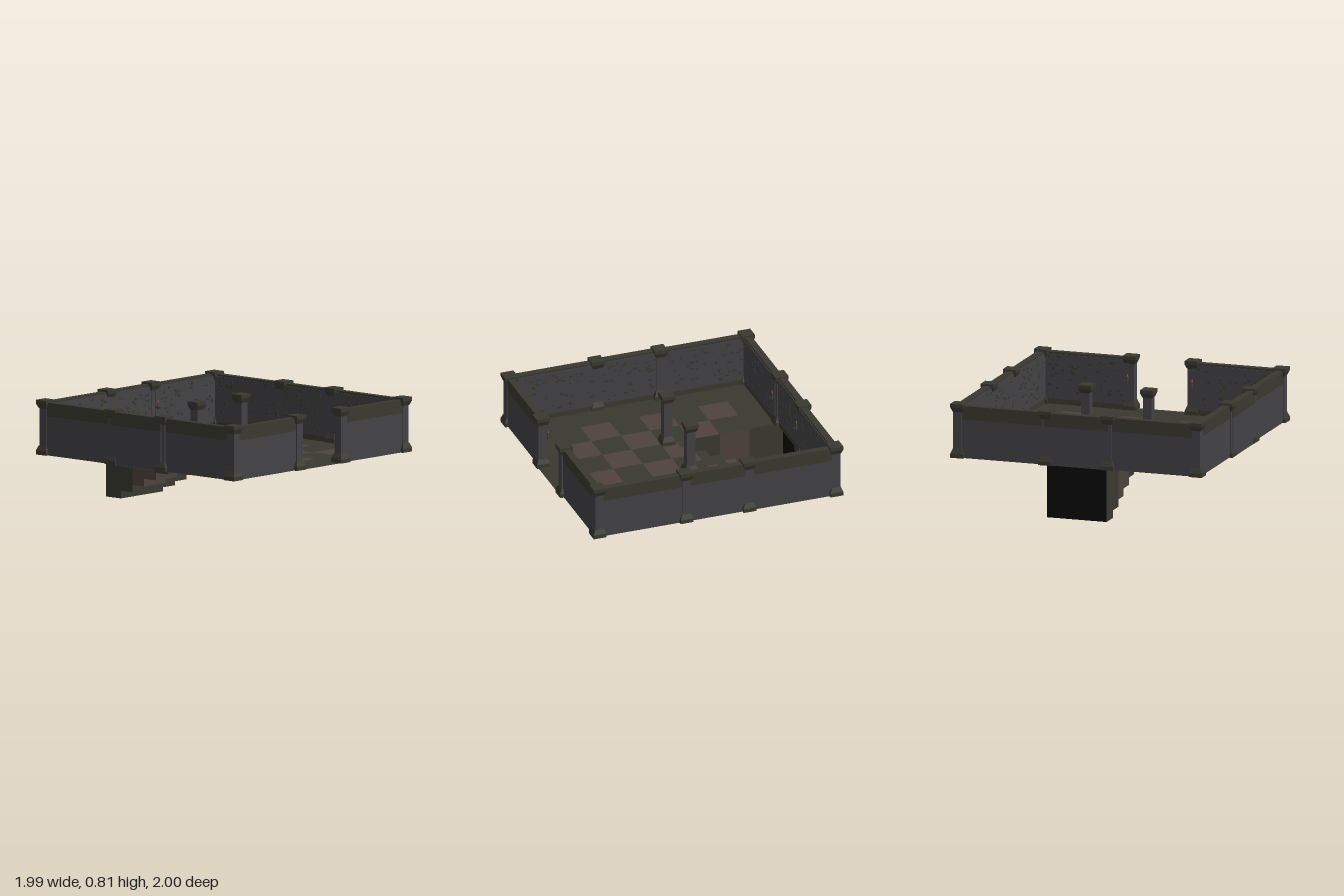
import * as THREE from 'three';
import { mergeGeometries } from 'three/addons/utils/BufferGeometryUtils.js';

const mat = (color) => new THREE.MeshStandardMaterial({ color, side: THREE.DoubleSide, flatShading: true });
const FLOOR = 0.4, TOP = 0.797, EDGE = 0.235, CELL = 0.2335;

export function createModel() {
  const model = new THREE.Group();
  const stone = mat(0x434346), olive = mat(0x3a3930), brown = mat(0x4e433d), black = mat(0x090909);
  const flame = mat(0x8a4a20);

  let seed = 7;
  const rand = () => (seed = (seed * 16807) % 2147483647) / 2147483647;

  const add = (parent, name, geo, material) => {
    const m = new THREE.Mesh(geo, material);
    m.name = name;
    parent.add(m);
    return m;
  };
  const box = (x0, x1, y0, y1, z0, z1) => new THREE.BoxGeometry(x1 - x0, y1 - y0, z1 - z0)
    .translate((x0 + x1) / 2, (y0 + y1) / 2, (z0 + z1) / 2);
  const flat = (x0, x1, z0, z1, y) => new THREE.PlaneGeometry(x1 - x0, z1 - z0)
    .rotateX(-Math.PI / 2).translate((x0 + x1) / 2, y, (z0 + z1) / 2);
  const upright = (x0, x1, y0, y1, z) => new THREE.PlaneGeometry(x1 - x0, y1 - y0)
    .translate((x0 + x1) / 2, (y0 + y1) / 2, z);
  const sideways = (z0, z1, y0, y1, x) => new THREE.PlaneGeometry(z1 - z0, y1 - y0)
    .rotateY(Math.PI / 2).translate(x, (y0 + y1) / 2, (z0 + z1) / 2);

  // Checkered floor with the stairwell left open
  const dark = [], light = [];
  const stairStart = -0.12, stairEnd = -0.97, out = 0.965;
  for (let r = 0; r < 6; r++) for (let c = 0; c < 6; c++) {
    const overStairs = c === 2 || c === 3;
    if (overStairs && r < 2) continue;
    const x = (c - 3) * CELL, z = (r - 3) * CELL;
    const z0 = overStairs && r === 2 ? stairStart : z;
    ((r + c) % 2 ? dark : light).push(flat(x, x + CELL, z0, z + CELL, FLOOR));
  }
  const rim = 3 * CELL;
  dark.push(
    flat(-out, out, rim, out, FLOOR), flat(-out, -rim, -rim, rim, FLOOR), flat(rim, out, -rim, rim, FLOOR),
    flat(-out, -EDGE, -out, -rim, FLOOR), flat(EDGE, out, -out, -rim, FLOOR),
    flat(-0.25, 0.25, out, 0.985, FLOOR), flat(-0.99, -out, -0.25, 0.25, FLOOR));
  add(model, 'floorDark', mergeGeometries(dark), olive);
  add(model, 'floorLight', mergeGeometries(light), brown);

  // Stairs sinking towards the back: treads, risers and shaft sides
  const stairs = new THREE.Group();
  stairs.name = 'stairs';
  model.add(stairs);
  const run = CELL / 2, rise = FLOOR / 7, darkStep = [], lightStep = [];
  for (let i = 0; i < 7; i++) {
    const y = FLOOR - rise * (i + 1);
    const z1 = stairStart - run * i, z0 = i === 6 ? stairEnd : z1 - run;
    const row = i === 0 ? 2 : i < 3 ? 1 : i < 5 ? 0 : -1;
    for (const s of [-1, 1]) {
      const x0 = s < 0 ? -EDGE : 0, x1 = x0 + EDGE;
      const isLight = row >= 0 && (row % 2 === 0) === (s < 0);
      (isLight ? lightStep : darkStep).push(flat(x0, x1, z0, z1, y), upright(x0, x1, y, y + rise, z1));
      (row === 0 || row === 2 ? lightStep : darkStep).push(sideways(z0, z1, y, FLOOR, s * EDGE));
    }
  }
  add(stairs, 'stepsDark', mergeGeometries(darkStep), olive);
  add(stairs, 'stepsLight', mergeGeometries(lightStep), brown);
  add(stairs, 'shaftEnd', upright(-EDGE, EDGE, 0, FLOOR, stairEnd), black);

  // Wall run built along x with its outside facing +z
  const wall = (name, angle, runs) => {
    const g = new THREE.Group();
    g.name = name;
    g.rotation.y = angle;
    model.add(g);
    for (const [x0, x1, push] of runs) {
      const zi = 0.912 + push, zo = 0.968 + push;
      add(g, 'wallBody', box(x0, x1, FLOOR, 0.695, zi + 0.002, zo), stone);
      add(g, 'wallBand', box(x0, x1, 0.695, TOP, zi + 0.002, zo), olive);
      add(g, 'wallLining', box(x0, x1, FLOOR + 0.04, TOP - 0.015, zi - 0.004, zi + 0.003), stone);
      add(g, 'wallFoot', box(x0, x1, FLOOR, FLOOR + 0.04, zi - 0.005, zi + 0.003), olive);
      // Scattered rough stones on the inside
      const chips = [];
      const count = Math.round((x1 - x0) * 70);
      for (let i = 0; i < count; i++) {
        const w = 0.012 + rand() * 0.018, h = 0.008 + rand() * 0.01;
        const x = x0 + 0.03 + rand() * (x1 - x0 - 0.06 - w), y = 0.46 + rand() * 0.3;
        chips.push(box(x, x + w, y, y + h, zi - 0.008, zi));
      }
      add(g, 'wallStones', mergeGeometries(chips), olive);
    }
  };
  const whole = (push) => [[-0.94, -0.25, 0], [-0.25, 0.25, push], [0.25, 0.94, 0]];
  wall('frontWall', 0, [[-0.94, -0.25, 0], [0.25, 0.94, 0]]);
  wall('rightWall', Math.PI / 2, whole(0));
  wall('backWall', Math.PI, whole(0.014));
  wall('leftWall', -Math.PI / 2, whole(0.014));

  // Square pillar: flared base, shaft, flared capital
  const square = (points) => new THREE.LatheGeometry(
    points.map(([half, y]) => new THREE.Vector2(half * Math.SQRT2, y)), 4).rotateY(Math.PI / 4);
  const baseGeo = square([[0, 0.4], [0.051, 0.4], [0.051, 0.43], [0.036, 0.468], [0, 0.468]]);
  const shaftGeo = box(-0.033, 0.033, 0.46, 0.76, -0.033, 0.033);
  const capGeo = square([[0, 0.75], [0.036, 0.75], [0.051, 0.785], [0.051, 0.812], [0, 0.812]]);
  const pillar = (x, z) => {
    const g = new THREE.Group();
    g.name = 'pillar';
    g.position.set(x, 0, z);
    add(g, 'pillarBase', baseGeo, olive);
    add(g, 'pillarShaft', shaftGeo, stone);
    add(g, 'pillarCapital', capGeo, olive);
    model.add(g);
  };
  for (const s of [-1, 1]) {
    for (const t of [-1, 1]) {
      pillar(s * 0.94, t * 0.94);
      pillar(s * 0.245, t * 0.947);
      pillar(s * 0.942, t * 0.25);
    }
    pillar(s * 0.245, -0.05);
  }

  // Small torches on the inner faces of the front and back pillars
  for (const s of [-1, 1]) for (const t of [-1, 1]) {
    const torch = new THREE.Group();
    torch.name = 'torch';
    torch.position.set(s * 0.255, 0.62, t * 0.89);
    add(torch, 'torchBracket', box(-0.005, 0.005, -0.005, 0.005, -0.025, 0.025), olive);
    add(torch, 'torchHandle', new THREE.CylinderGeometry(0.009, 0.005, 0.06, 6).translate(0, 0.01, 0), brown);
    add(torch, 'torchFlame', new THREE.ConeGeometry(0.009, 0.025, 6).translate(0, 0.052, 0), flame);
    model.add(torch);
  }
  return model;
}
